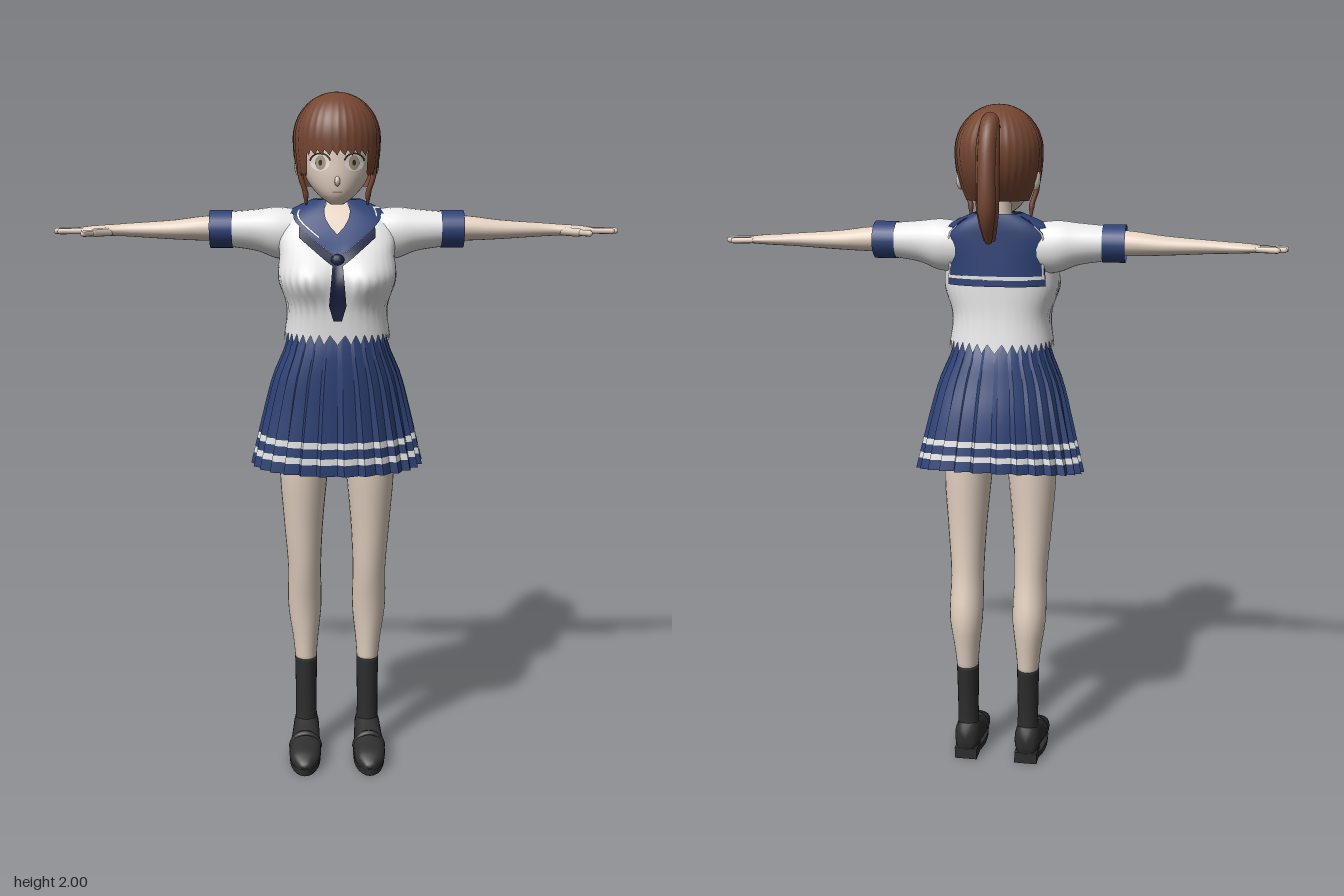
import * as THREE from 'three';
import { toCreasedNormals } from 'three/addons/utils/BufferGeometryUtils.js';

const { sin, cos, abs, sign, sqrt, PI, min, max } = Math;
const paint = (name, color, side = THREE.FrontSide) => {
  const m = new THREE.MeshStandardMaterial({ color, side });
  m.name = name;
  return m;
};

// Smooth lookup in a table of rows keyed by their first column
function spline(t, x) {
  let i = 0;
  while (i < t.length - 2 && x > t[i + 1][0]) i++;
  const h = t[i + 1][0] - t[i][0], s = min(1, max(0, (x - t[i][0]) / h));
  const slope = (j, k) => {
    const a = t[max(0, j - 1)], b = t[min(t.length - 1, j + 1)];
    return (b[k] - a[k]) / (b[0] - a[0]);
  };
  return t[i].map((p, k) => k === 0 ? x :
    p * (1 + 2 * s) * (1 - s) ** 2 + slope(i, k) * h * s * (1 - s) ** 2 +
    t[i + 1][k] * s * s * (3 - 2 * s) + slope(i + 1, k) * h * s * s * (s - 1));
}

// Surface swept by rings fn(angle, v, column); closed when it goes all the way round
function surface(nu, nv, fn, { a0 = 0, a1 = 2 * PI, cap = false } = {}) {
  const closed = a1 - a0 > 6.28, w = closed ? nu : nu + 1, pos = [], idx = [];
  for (let j = 0; j <= nv; j++)
    for (let i = 0; i < w; i++) pos.push(...fn(a0 + (a1 - a0) * i / nu, j / nv, i));
  for (let j = 0; j < nv; j++)
    for (let i = 0; i < nu; i++) {
      const a = j * w + i, b = j * w + (i + 1) % w;
      idx.push(a, a + w, b, b, a + w, b + w);
    }
  if (cap) for (const j of [0, nv]) {
    const c = [0, 0, 0], n = pos.length / 3;
    for (let i = 0; i < w; i++) for (let k = 0; k < 3; k++) c[k] += pos[(j * w + i) * 3 + k] / w;
    pos.push(...c);
    for (let i = 0; i < nu; i++) {
      const a = j * w + i, b = j * w + (i + 1) % w;
      j ? idx.push(n, b, a) : idx.push(n, a, b);
    }
  }
  const g = new THREE.BufferGeometry();
  g.setAttribute('position', new THREE.Float32BufferAttribute(pos, 3));
  g.setIndex(idx);
  g.computeVertexNormals();
  return g;
}
const lerp = THREE.MathUtils.lerp;
const pw = (v, e) => sign(v) * abs(v) ** e;
const span = (t, v) => spline(t, lerp(t[0][0], t[t.length - 1][0], v));

// Limbs: rows are [y, cx, cz, rx, rz], [x, cy, cz, ry, rz] or [z, cx, cy, rx, ry]
const limbY = t => surface(24, 24, (a, v) => { const [y, cx, cz, rx, rz] = span(t, v); return [cx + rx * cos(a), y, cz + rz * sin(a)]; }, { cap: true });
const limbX = (t, cap = true) => surface(24, 16, (a, v) => { const [x, cy, cz, ry, rz] = span(t, v); return [x, cy + ry * sin(a), cz + rz * cos(a)]; }, { cap });
const limbZ = t => surface(24, 20, (a, v) => { const [z, cx, cy, rx, ry] = span(t, v); return [cx + rx * pw(sin(a), 0.8), cy + ry * pw(cos(a), 0.8), z]; }, { cap: true });

function mirrored(geo) {
  const g = geo.clone().scale(-1, 1, 1);
  const ix = g.index.array;
  for (let i = 0; i < ix.length; i += 3) [ix[i], ix[i + 1]] = [ix[i + 1], ix[i]];
  g.computeVertexNormals();
  return g;
}
function capsule(a, b, r) {
  const p = new THREE.Vector3(...a), q = new THREE.Vector3(...b), d = q.clone().sub(p);
  const turn = new THREE.Quaternion().setFromUnitVectors(new THREE.Vector3(0, 1, 0), d.clone().normalize());
  return new THREE.CapsuleGeometry(r, d.length(), 4, 8).applyQuaternion(turn).translate(...p.add(q).multiplyScalar(0.5).toArray());
}

// Body tables: [y, half width, back z, front z]
const TORSO = [[1.3, 0.155, -0.075, 0.195], [1.4, 0.145, -0.062, 0.2], [1.48, 0.168, -0.06, 0.198], [1.55, 0.165, -0.06, 0.165],
  [1.6, 0.17, -0.06, 0.12], [1.64, 0.16, -0.06, 0.085], [1.67, 0.115, -0.06, 0.06], [1.695, 0.06, -0.055, 0.035]];
const SKIRT = [[0.93, 0.243, -0.15, 0.2], [1.1, 0.207, -0.122, 0.193], [1.2, 0.182, -0.095, 0.193], [1.28, 0.15, -0.075, 0.19], [1.33, 0.138, -0.055, 0.18]];
const FACE = [[1.687, 0.018, 0.05, 0.1], [1.71, 0.05, 0, 0.119], [1.75, 0.083, -0.06, 0.128], [1.8, 0.101, -0.09, 0.129],
  [1.86, 0.108, -0.1, 0.125], [1.92, 0.09, -0.08, 0.1], [1.96, 0.04, -0.03, 0.06]];

function torso(a, y, off = 0) {
  const [, rx, zb, zf] = spline(TORSO, y), x = rx * pw(cos(a), 0.8);
  const bust = sin(a) > 0 ? 0.042 * sin(a) ** 0.5 * Math.exp(-(((abs(x) - 0.085) / 0.07) ** 2) - ((y - 1.487) / 0.06) ** 2) : 0;
  const side = 0.012 * cos(a) * Math.exp(-(((y - 1.48) / 0.05) ** 2)) * max(0, sin(a));
  return [x + side + off * cos(a), y + off * 0.5, (zb + zf) / 2 + (zf - zb) / 2 * pw(sin(a), 0.8) + bust + off * sin(a)];
}
const torsoZ = (x, y) => {
  const c = min(1, abs(x) / spline(TORSO, y)[1]) ** 1.25;
  return torso(Math.acos(c), y)[2];
};
const faceZ = (x, y) => {
  const [, rx, zb, zf] = spline(FACE, y);
  return (zb + zf) / 2 + (zf - zb) / 2 * sqrt(max(0, 1 - (x / rx) ** 2));
};
// Lay a flat shape onto a curved front
function drape(geo, zAt, off) {
  const p = geo.attributes.position;
  for (let i = 0; i < p.count; i++) p.setZ(i, zAt(p.getX(i), p.getY(i)) + off);
  geo.computeVertexNormals();
  return geo;
}

export function createModel() {
  const D = THREE.DoubleSide, model = new THREE.Group();
  const skin = paint('skin', 0xe2d0c0), hair = paint('brown hair', 0x754632, D), white = paint('white cloth', 0xe6e6e6, D),
    navy = paint('navy cloth', 0x2e4276, D), black = paint('black leather', 0x2d2d2d), scarf = paint('dark scarf', 0x1b2140, D),
    lash = paint('dark lashes', 0x3a2a24), iris = paint('pale iris', 0xaa9c80), lips = paint('lips', 0xb98a7c);
  const add = (name, geo, mat) => {
    const m = new THREE.Mesh(geo, mat);
    m.name = name;
    model.add(m);
  };
  const pair = (name, geo, mat) => { add(name + 'Left', geo, mat); add(name + 'Right', mirrored(geo), mat); };

  // Shirt with a ragged hem
  add('shirt', surface(72, 32, (a, v, i) => torso(a, lerp(1.3 + (i % 2) * 0.028, 1.695, v))), white);
  pair('sleeve', limbX([[0.1, 1.6, 0.01, 0.07, 0.062], [0.17, 1.604, 0.01, 0.074, 0.068], [0.23, 1.612, 0.013, 0.06, 0.062], [0.31, 1.615, 0.015, 0.05, 0.056]], false), white);
  pair('cuff', limbX([[0.3, 1.615, 0.015, 0.054, 0.06], [0.365, 1.615, 0.015, 0.054, 0.06]], false), navy);

  // Sailor collar, its stripes, the neckline and the scarf follow the shirt
  const low = a => {
    const c = abs(cos(a));
    if (c > 0.78) return 1.655;
    return sin(a) < 0 ? 1.49 : 1.54 + 0.115 * (c / 0.78) ** 0.9;
  };
  const high = a => sin(a) < 0 ? 1.695 : min(1.695, 1.6 + 0.32 * abs(cos(a)));
  const patch = (lo, hi, off, a0 = 0, a1 = 2 * PI, n = 96) =>
    surface(n, 8, (a, v) => torso(a, lerp(lo(a), hi(a), v), off), { a0, a1 });
  add('collar', patch(low, high, 0.01), navy);
  add('neckline', patch(a => high(a) - 0.002, () => 1.695, 0.006, 1.2, PI - 1.2, 16), skin);
  add('scarfWrap', patch(a => low(a) - 0.03, low, 0.008, 1.0, PI - 1.0, 24), scarf);
  add('collarBackStripe', patch(() => 1.507, () => 1.518, 0.014, PI + 0.75, 2 * PI - 0.75, 24), white);
  for (const s of [-1, 1]) {
    const a = 1.5 * PI + s * 0.78;
    add('collarSideStripe', patch(() => 1.507, () => 1.66, 0.014, a - 0.025, a + 0.025, 2), white);
    const f = PI / 2 + s * 0.75;
    add('collarFrontStripe', patch(t => low(t) + 0.012, t => low(t) + 0.019, 0.014, f - 0.55, f + 0.1, 20), white);
  }
  const tie = new THREE.PlaneGeometry(1, 1, 4, 12), tp = tie.attributes.position;
  for (let i = 0; i < tp.count; i++) {
    const t = 0.5 - tp.getY(i), w = t < 0.75 ? 0.026 + 0.03 * t : 0.0485 - 0.1 * (t - 0.75);
    tp.setXY(i, tp.getX(i) * w, 1.54 - 0.17 * t);
  }
  add('scarfTail', drape(tie, torsoZ, 0.013), scarf);
  add('scarfKnot', new THREE.SphereGeometry(0.02, 12, 8).scale(1, 1, 0.7).translate(0, 1.535, torsoZ(0, 1.535) + 0.01), scarf);

  // Pleated skirt in horizontal bands
  const pleats = 28, steps = 4;
  const skirt = (a, y, i) => {
    const [, rx, zb, zf] = spline(SKIRT, y), d = (1.33 - y) / 0.4;
    const r = 1 + (0.02 + 0.06 * d) * ([0, 0.35, 0.7, 1][i % steps] - 0.4);
    const sag = d * (-0.008 * max(0, sin(a)) + 0.035 * max(0, -sin(a)));
    return [rx * r * pw(cos(a), 0.9), y + sag, (zb + zf) / 2 + (zf - zb) / 2 * r * pw(sin(a), 0.9)];
  };
  const bands = [0.93, 0.962, 0.98, 1.007, 1.025, 1.33];
  bands.slice(1).forEach((top, k) => {
    const g = surface(pleats * steps, k === 4 ? 10 : 1, (a, v, i) => skirt(a, lerp(bands[k], top, v), i));
    add(k % 2 ? 'skirtStripe' : 'skirtPanel', toCreasedNormals(g, 0.35), k % 2 ? white : navy);
  });
  add('hips', new THREE.SphereGeometry(1, 24, 16).scale(0.14, 0.12, 0.1).translate(0, 1.13, 0.035), white);

  // Legs, socks and loafers
  pair('leg', limbY([[0.28, 0.095, -0.012, 0.031, 0.041], [0.36, 0.096, -0.015, 0.038, 0.05], [0.47, 0.098, -0.015, 0.051, 0.064], [0.6, 0.098, 0.01, 0.05, 0.067],
    [0.75, 0.1, 0.025, 0.059, 0.075], [0.93, 0.097, 0.035, 0.073, 0.09], [1.12, 0.08, 0.035, 0.075, 0.095]]), skin);
  pair('sock', limbY([[0.07, 0.095, -0.008, 0.034, 0.04], [0.15, 0.095, -0.008, 0.032, 0.038], [0.305, 0.095, -0.012, 0.034, 0.045]]), black);
  pair('shoe', limbZ([[-0.062, 0.095, 0.065, 0.022, 0.035], [-0.045, 0.095, 0.068, 0.036, 0.048], [0, 0.095, 0.066, 0.04, 0.053], [0.05, 0.096, 0.055, 0.043, 0.045],
    [0.11, 0.098, 0.042, 0.048, 0.035], [0.165, 0.098, 0.033, 0.04, 0.026], [0.198, 0.098, 0.025, 0.015, 0.012]]), black);
  pair('sole', limbY([[0, 0.098, 0.075, 0.047, 0.125], [0.022, 0.098, 0.072, 0.049, 0.13]]), black);
  pair('heel', new THREE.BoxGeometry(0.07, 0.035, 0.065).translate(0.095, 0.0175, -0.028), black);
  pair('shoeStrap', new THREE.TorusGeometry(0.044, 0.007, 6, 16, PI).scale(1, 1, 1.8).translate(0.097, 0.044, 0.085), black);

  // Arms and hands
  pair('arm', limbX([[0.25, 1.615, 0.01, 0.036, 0.041], [0.37, 1.617, 0.006, 0.036, 0.042], [0.47, 1.613, 0.003, 0.028, 0.038], [0.62, 1.612, -0.004, 0.018, 0.025],
    [0.66, 1.611, -0.003, 0.016, 0.03], [0.7, 1.611, -0.004, 0.014, 0.036], [0.74, 1.61, -0.006, 0.01, 0.033]]), skin);
  [[-0.031, -0.036, 0.785], [-0.014, -0.016, 0.805], [0.003, 0.005, 0.81], [0.019, 0.026, 0.795]].forEach(([z0, z1, x]) =>
    pair('finger', capsule([0.73, 1.61, z0], [x, 1.609, z1], 0.0085), skin));
  pair('thumb', capsule([0.655, 1.608, 0.015], [0.695, 1.606, 0.05], 0.012), skin);
  pair('thumbTip', capsule([0.695, 1.606, 0.05], [0.72, 1.605, 0.08], 0.009), skin);

  // Neck, face and ears
  add('neck', limbY([[1.62, 0, -0.01, 0.05, 0.042], [1.7, 0, -0.008, 0.04, 0.04], [1.78, 0, -0.005, 0.042, 0.045]]), skin);
  add('face', surface(36, 28, (a, v) => {
    const [y, rx, zb, zf] = span(FACE, v);
    return [rx * cos(a), y, (zb + zf) / 2 + (zf - zb) / 2 * sin(a)];
  }, { cap: true }), skin);
  add('nose', new THREE.SphereGeometry(1, 10, 8).scale(0.008, 0.014, 0.014).translate(0, 1.752, 0.13), skin);
  pair('ear', new THREE.SphereGeometry(1, 12, 8).scale(0.014, 0.032, 0.02).translate(0.108, 1.795, -0.01), skin);
  const disc = (rx, ry, x, y) => new THREE.CircleGeometry(1, 24).scale(rx, ry, 1).translate(x, y, 0);
  pair('eyeWhite', drape(disc(0.027, 0.023, 0.048, 1.803), faceZ, 0.003), white);
  pair('iris', drape(disc(0.015, 0.02, 0.047, 1.803), faceZ, 0.005), iris);
  pair('pupil', drape(disc(0.005, 0.008, 0.047, 1.803), faceZ, 0.007), lash);
  pair('upperLash', drape(new THREE.RingGeometry(0.026, 0.031, 20, 1, 0.2, 2.7).scale(1, 0.88, 1).translate(0.048, 1.803, 0), faceZ, 0.006), lash);
  add('mouth', drape(new THREE.PlaneGeometry(0.026, 0.004, 6, 1).translate(0, 1.722, 0), faceZ, 0.003), lips);

  // Hair: cap with fringe, locks beside the face, ponytail
  const hemLine = (a, i) => {
    const c = abs(cos(a)), f = sin(a);
    if (f > 0.12) return c < 0.72 ? 1.822 + (i % 3) * 0.008 : 1.765 + (i % 2) * 0.01;
    return f > -0.25 ? 1.815 : 1.735;
  };
  add('hairCap', surface(108, 28, (a, v, i) => {
    const lo = hemLine(a, i), phi = max(0, (v - 0.4) / 0.6) * PI / 2;
    const y = v < 0.4 ? lerp(lo, 1.87, v / 0.4) : 1.87 + 0.13 * sin(phi);
    const drop = max(0, (1.87 - y) / 0.13) ** 2;
    const r = (v < 0.4 ? 1 - (0.15 + 0.27 * max(0, -sin(a))) * drop : cos(phi)) * (1 - 0.018 * (i % 3 === 1));
    return [0.126 * r * cos(a), y, 0.009 + 0.138 * r * sin(a)];
  }), hair);
  const strand = (pts, rx, rz) => {
    const curve = new THREE.CatmullRomCurve3(pts.map(p => new THREE.Vector3(...p)));
    const X = new THREE.Vector3(1, 0, 0);
    return surface(12, 24, (a, v) => {
      const w = min(1, 0.35 + 3 * v) * (v > 0.75 ? 1 - 2.6 * (v - 0.75) : 1);
      const N = X.clone().cross(curve.getTangent(v)).normalize();
      return curve.getPoint(v).addScaledVector(X, rx * w * cos(a)).addScaledVector(N, rz * w * sin(a)).toArray();
    }, { cap: true });
  };
  pair('sideLock', strand([[0.108, 1.82, 0.05], [0.102, 1.76, 0.05], [0.09, 1.72, 0.045], [0.088, 1.685, 0.04]], 0.008, 0.009), hair);
  add('ponytail', strand([[0, 1.93, -0.1], [0, 1.955, -0.13], [0, 1.92, -0.175], [0, 1.8, -0.2], [0, 1.7, -0.195], [0, 1.63, -0.165]], 0.026, 0.026), hair);
  pair('ponytailStrand', strand([[0.008, 1.93, -0.1], [0.01, 1.955, -0.125], [0.018, 1.91, -0.165], [0.02, 1.8, -0.185], [0.017, 1.7, -0.175], [0.012, 1.635, -0.15]], 0.014, 0.02), hair);
  add('hairTie', new THREE.TorusGeometry(0.017, 0.007, 8, 16).rotateX(-0.6).translate(0, 1.94, -0.112), scarf);
  return model;
}
